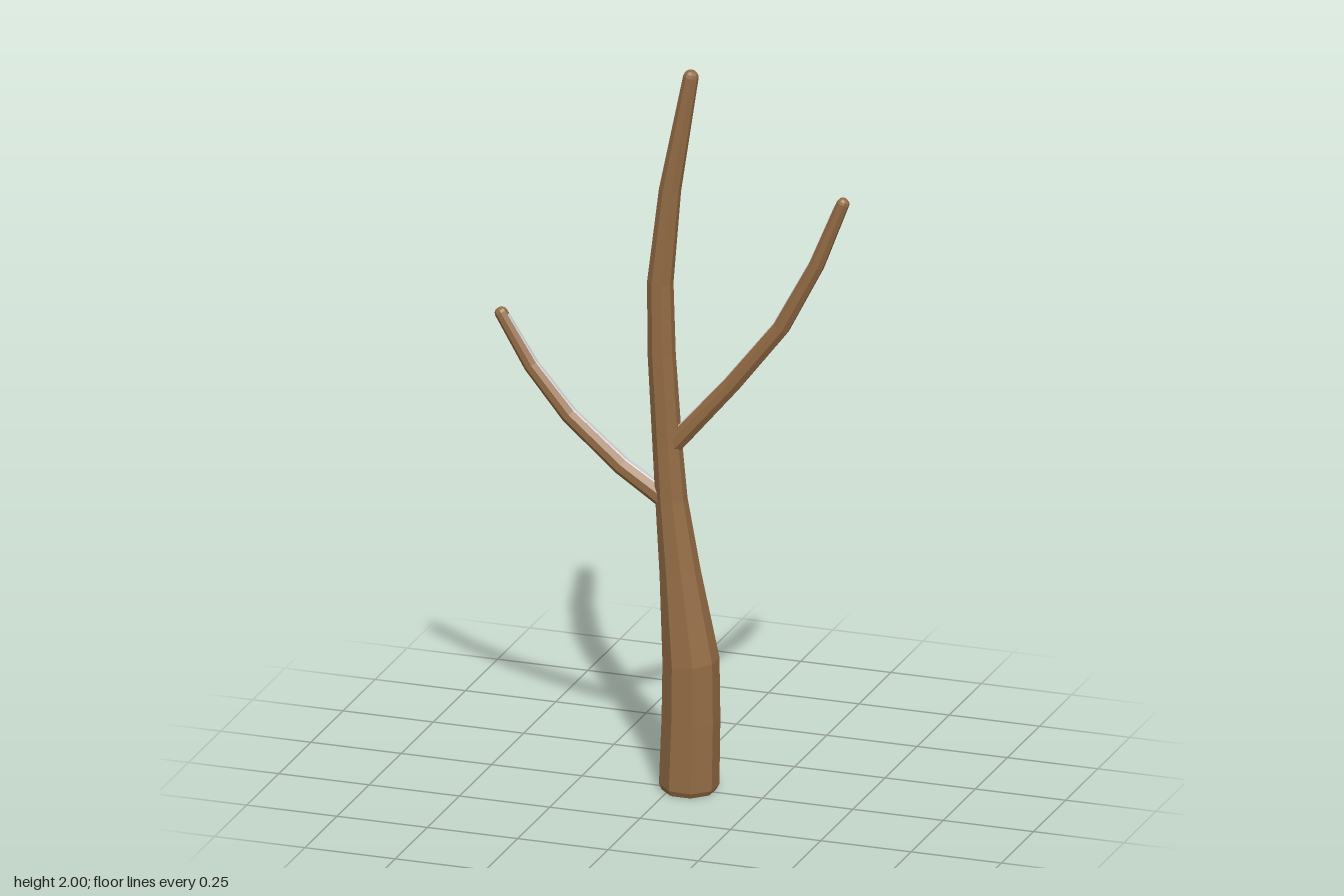
import * as THREE from 'three';

const SIDES = 8;
const bark = new THREE.MeshStandardMaterial({ color: 0x946c45, flatShading: true });
const snow = new THREE.MeshStandardMaterial({ color: 0xcccccc, flatShading: true });

// Tangent at point i of a path of [x, y, radius] stations in the z = 0 plane
function tangent(path, i) {
  const a = path[Math.max(i - 1, 0)], b = path[Math.min(i + 1, path.length - 1)];
  return new THREE.Vector2(b[0] - a[0], b[1] - a[1]).normalize();
}

// Adds shrinking rings that round off the far end
function roundTip(path) {
  const [x, y, r] = path.at(-1);
  const t = tangent(path, path.length - 1);
  return [...path, ...[[0.45, 0.85], [0.8, 0.5]].map(([d, s]) => [x + t.x * r * d, y + t.y * r * d, r * s])];
}

// Eight-sided tapered limb with closed ends
function limb(path) {
  const pos = [], index = [];
  path.forEach(([x, y, r], i) => {
    const t = tangent(path, i);
    for (let j = 0; j < SIDES; j++) {
      const a = ((j + 0.5) / SIDES) * Math.PI * 2;
      const c = (Math.cos(a) * r) / Math.cos(Math.PI / SIDES);
      const s = (Math.sin(a) * r) / Math.cos(Math.PI / SIDES);
      pos.push(x - t.y * c, y + t.x * c, s);
    }
  });
  const last = path.length - 1;
  for (let i = 0; i < last; i++) {
    for (let j = 0; j < SIDES; j++) {
      const k = (j + 1) % SIDES;
      const a = i * SIDES + j, b = i * SIDES + k, c = b + SIDES, d = a + SIDES;
      index.push(a, b, c, a, c, d);
    }
  }
  for (let j = 1; j < SIDES - 1; j++) {
    index.push(0, j + 1, j);
    index.push(last * SIDES, last * SIDES + j, last * SIDES + j + 1);
  }
  const g = new THREE.BufferGeometry();
  g.setAttribute('position', new THREE.Float32BufferAttribute(pos, 3));
  g.setIndex(index);
  g.computeVertexNormals();
  return g;
}

// Narrower copy of a branch, lifted onto its upper side and stopping short of the tip
function snowPath(path) {
  const out = path.map(([x, y, r], i) => {
    const t = tangent(path, i), up = Math.sign(t.x) * r * 0.36;
    return [x - t.y * up, y + t.x * up, r * 0.74];
  });
  const e = out.at(-1), p = out.at(-2);
  e[0] += (p[0] - e[0]) * 0.08;
  e[1] += (p[1] - e[1]) * 0.08;
  return out;
}

function addMesh(group, name, geometry, material) {
  const mesh = new THREE.Mesh(geometry, material);
  mesh.name = name;
  group.add(mesh);
}

export function createModel() {
  const tree = new THREE.Group();
  tree.name = 'bareTree';

  // Trunk, bending gently from side to side
  addMesh(tree, 'trunk', limb(roundTip([
    [0.047, 0, 0.066], [0.047, 0.015, 0.073], [0.052, 0.2, 0.071], [0.052, 0.36, 0.069],
    [0.022, 0.6, 0.05], [-0.002, 0.8, 0.039], [-0.014, 0.96, 0.036], [-0.029, 1.2, 0.034],
    [-0.033, 1.4, 0.032], [-0.006, 1.66, 0.027], [0.052, 1.983, 0.019],
  ])), bark);

  // Branches with a strip of snow along the top
  const branches = {
    right: [[-0.005, 0.79, 0.025], [-0.14, 0.877, 0.023], [-0.285, 1.0, 0.021],
      [-0.39, 1.125, 0.019], [-0.474, 1.262, 0.016]],
    left: [[0, 0.95, 0.024], [0.02, 0.972, 0.024], [0.165, 1.14, 0.022], [0.302, 1.315, 0.021],
      [0.4, 1.5, 0.019], [0.473, 1.682, 0.016]],
  };
  for (const [side, path] of Object.entries(branches)) {
    addMesh(tree, side + 'Branch', limb(roundTip(path)), bark);
    addMesh(tree, side + 'BranchSnow', limb(snowPath(path)), snow);
  }
  return tree;
}
